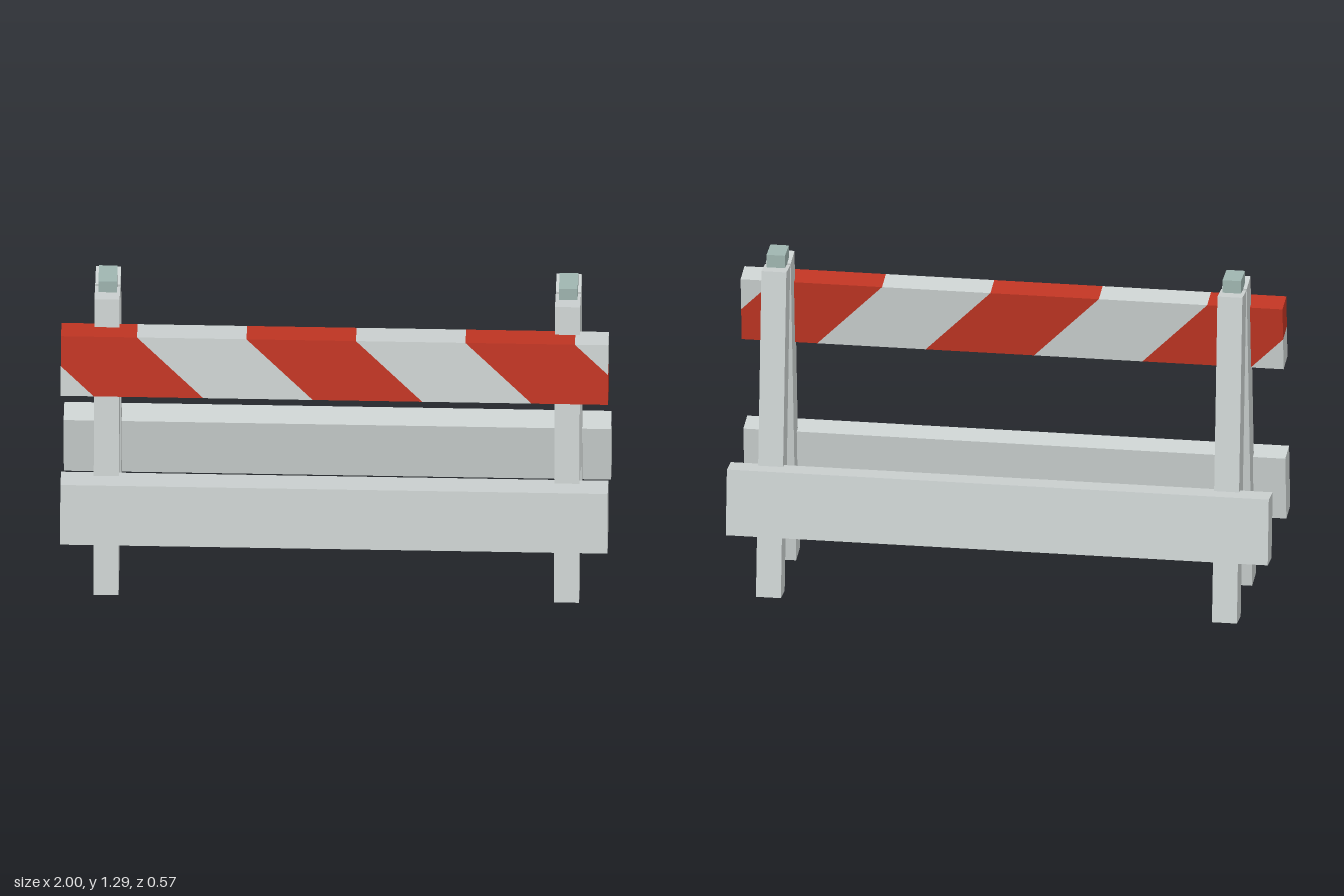
import * as THREE from 'three';

export function createModel() {
  const model = new THREE.Group();
  model.name = 'roadBarricade';

  const paint = (name, color) => {
    const m = new THREE.MeshStandardMaterial({ color });
    m.name = name;
    return m;
  };
  const white = paint('greyWhite', 0xccd2d1);
  const red = paint('signalRed', 0xc03523);
  const capGrey = paint('capGrey', 0x9fb5b0);

  const tilt = 0.113;        // lean of the legs and boards
  const boardH = 0.25, boardD = 0.099;

  const addBox = (name, size, pos, mat, lean = 0) => {
    const mesh = new THREE.Mesh(new THREE.BoxGeometry(...size), mat);
    mesh.name = name;
    mesh.position.set(...pos);
    mesh.rotation.x = lean;
    model.add(mesh);
  };

  // Two A-shaped trestles, each with a hinge block on top
  for (const [side, x] of [['right', -0.834], ['left', 0.849]]) {
    addBox(side + 'FrontLeg', [0.092, 1.239, 0.098], [x, 0.625, 0.125], white, -tilt);
    addBox(side + 'BackLeg', [0.092, 1.239, 0.098], [x, 0.625, -0.125], white, tilt);
    addBox(side + 'HingeBlock', [0.068, 0.102, 0.1], [x + 0.001, 1.238, 0], capGrey);
  }

  // Plain lower boards, front and back
  addBox('frontLowerBoard', [2, boardH, boardD], [0, 0.389, 0.224], white, -tilt);
  addBox('backLowerBoard', [2, boardH, boardD], [0, 0.389, -0.224], white, tilt);

  // Trims a polygon to sign * x <= 1
  const trim = (pts, sign) => {
    const out = [];
    pts.forEach((p, i) => {
      const q = pts[(i + 1) % pts.length];
      const dp = 1 - sign * p.x, dq = 1 - sign * q.x;
      if (dp >= 0) out.push(p);
      if (dp * dq < 0) out.push(p.clone().lerp(q, dp / (dp - dq)));
    });
    return out;
  };

  // Striped upper board: slanted blocks in alternating colours
  const striped = new THREE.Group();
  striped.name = 'stripedBoard';
  const slant = 0.243, stripeW = 0.4, h = boardH / 2;
  for (let i = 0; i < 7; i++) {
    const a = -1.522 + i * stripeW, b = a + stripeW;
    const corners = [[a + slant, -h], [b + slant, -h], [b, h], [a, h]]
      .map(([x, y]) => new THREE.Vector2(x, y));
    const outline = trim(trim(corners, 1), -1);
    const geo = new THREE.ExtrudeGeometry(new THREE.Shape(outline), { depth: boardD, bevelEnabled: false });
    geo.translate(0, 0, -boardD / 2);
    const stripe = new THREE.Mesh(geo, i % 2 ? red : white);
    stripe.name = (i % 2 ? 'redStripe' : 'whiteStripe') + i;
    striped.add(stripe);
  }
  striped.position.set(0, 1.009, 0.1535);
  striped.rotation.x = -tilt;
  model.add(striped);

  return model;
}
